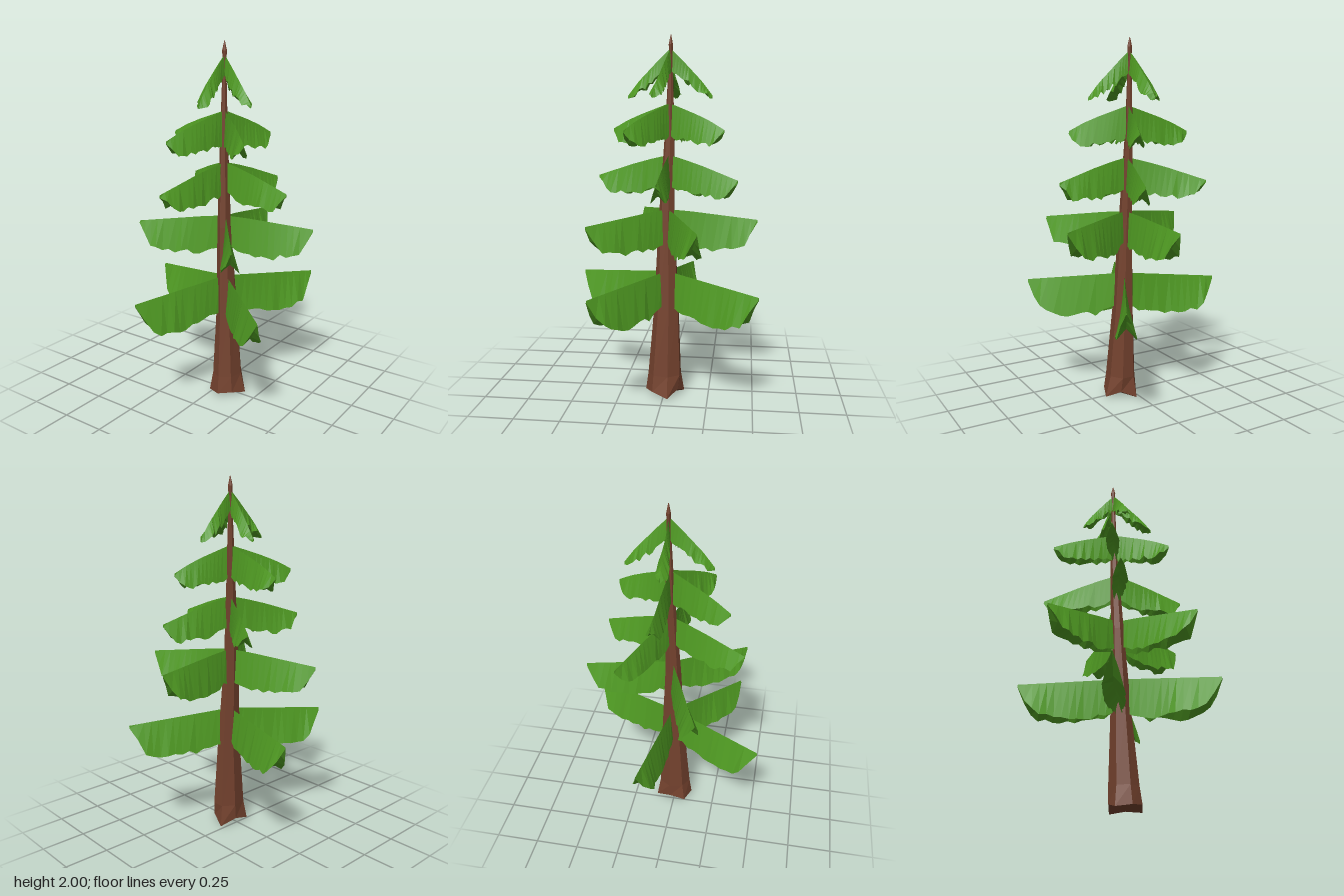
import * as THREE from 'three';

const foliage = new THREE.MeshStandardMaterial({ color: 0x4f9a22, flatShading: true });
foliage.name = 'needle green';
const bark = new THREE.MeshStandardMaterial({ color: 0x74422e, flatShading: true });
bark.name = 'bark brown';

// Trunk rings from the top down: height, centre x, centre z, radius x, radius z
const RINGS = [
  [2.0, 0.02, -0.03, 0.002, 0.002],
  [1.95, 0.02, -0.03, 0.014, 0.012],
  [1.9, 0.02, -0.03, 0.01, 0.01],
  [1.5, 0.022, -0.025, 0.02, 0.026],
  [1.0, 0.036, -0.01, 0.036, 0.046],
  [0.5, 0.055, -0.012, 0.056, 0.072],
  [0.12, 0.066, -0.004, 0.08, 0.096],
  [0.02, 0.07, 0.0, 0.096, 0.106],
];

// Each tier: ridge and hem heights along the branch, and branch tips [x, z]
const TIERS = [
  { ridge: [0.71, 0.695, 0.68, 0.665, 0.65], hem: [0.52, 0.47, 0.46, 0.475, 0.635], width: 0.058,
    tips: [[-0.49, -0.12], [-0.18, 0.51], [0.48, 0.35], [0.325, -0.52]] },
  { ridge: [1.06, 1.05, 1.035, 1.02, 1.005], hem: [0.88, 0.845, 0.84, 0.86, 0.99], width: 0.052,
    tips: [[-0.42, 0.185], [0.345, 0.38], [0.485, -0.21], [0.01, -0.51]] },
  { ridge: [1.36, 1.335, 1.305, 1.27, 1.235], hem: [1.19, 1.155, 1.14, 1.14, 1.22], width: 0.044,
    tips: [[-0.34, -0.245], [-0.09, 0.395], [0.43, 0.0], [0.145, -0.4]] },
  { ridge: [1.64, 1.61, 1.58, 1.545, 1.5], hem: [1.46, 1.44, 1.425, 1.42, 1.485], width: 0.04,
    tips: [[-0.34, -0.055], [-0.11, 0.31], [0.285, 0.185], [0.135, -0.325]] },
  { ridge: [1.93, 1.875, 1.815, 1.755, 1.68], hem: [1.82, 1.77, 1.72, 1.68, 1.665], width: 0.036,
    tips: [[-0.165, -0.04], [0.02, 0.205], [0.235, 0.045], [0.0, -0.255]] },
];
const WIDTHS = [0.2, 0.5, 0.8, 1, 0.06];
const STATIONS = 14;

function seeded(seed) {
  return () => {
    seed = (seed * 16807) % 2147483647;
    return seed / 2147483647;
  };
}

// Linear reading of evenly spaced values
function sample(values, t) {
  const f = t * (values.length - 1);
  const i = Math.min(Math.floor(f), values.length - 2);
  return values[i] + (values[i + 1] - values[i]) * (f - i);
}

// Hem and width stay full until near the tip, then close quickly
const bulge = (t) => (t < 0.84 ? t * 0.75 / 0.84 : 0.75 + (t - 0.84) * 0.25 / 0.16);

// Drooping branch along +x: a sharp roof with a ragged hem and hollow underside
function branchGeometry(tier, length, random) {
  const pos = [];
  const index = [];
  for (let i = 0; i <= STATIONS; i++) {
    const t = i / STATIONS;
    const ridge = sample(tier.ridge, t);
    const hem = sample(tier.hem, bulge(t));
    const w = sample(WIDTHS, bulge(t)) * tier.width;
    const rag = i === STATIONS ? 0 : 0.03;
    const right = hem + (random() - 0.4) * rag;
    const left = hem + (random() - 0.4) * rag;
    const x = t * length;
    pos.push(x, ridge, 0);
    pos.push(x, right, w * (0.9 + 0.2 * random()));
    pos.push(x, hem + (ridge - hem) * 0.3, 0);
    pos.push(x, left, -w * (0.9 + 0.2 * random()));
  }
  for (let i = 0; i < STATIONS; i++) {
    for (let k = 0; k < 4; k++) {
      const a = i * 4 + k;
      const b = i * 4 + (k + 1) % 4;
      index.push(a, b, a + 4, b, b + 4, a + 4);
    }
  }
  const e = STATIONS * 4;
  index.push(0, 2, 1, 0, 3, 2, e, e + 1, e + 2, e, e + 2, e + 3);
  const geo = new THREE.BufferGeometry();
  geo.setAttribute('position', new THREE.Float32BufferAttribute(pos, 3));
  geo.setIndex(index);
  geo.computeVertexNormals();
  return geo;
}

// Leaning seven-sided trunk with root lobes at the foot
function trunkGeometry() {
  const rows = RINGS.length - 1;
  const geo = new THREE.CylinderGeometry(1, 1, 1, 7, rows);
  const p = geo.attributes.position;
  for (let i = 0; i < p.count; i++) {
    const row = Math.round((0.5 - p.getY(i)) * rows);
    const [y, cx, cz, rx, rz] = RINGS[row];
    const lobe = Math.cos(3 * Math.atan2(p.getZ(i), p.getX(i)));
    const root = row === rows ? 1 + 0.15 * lobe : 1;
    const lift = row === rows ? -0.02 * lobe : 0;
    p.setXYZ(i, cx + p.getX(i) * rx * root, Math.max(0, y + lift), cz + p.getZ(i) * rz * root);
  }
  geo.computeVertexNormals();
  return geo;
}

export function createModel() {
  const tree = new THREE.Group();
  tree.name = 'conifer';

  const trunk = new THREE.Mesh(trunkGeometry(), bark);
  trunk.name = 'trunk';
  tree.add(trunk);

  // Five tiers of four branches
  const random = seeded(4711);
  TIERS.forEach((tier, n) => {
    const group = new THREE.Group();
    group.name = `branchTier${n + 1}`;
    const cx = 0.045 - 0.006 * n;
    const cz = -0.012 - 0.004 * n;
    tier.tips.forEach(([x, z], k) => {
      const length = Math.hypot(x - cx, z - cz);
      const branch = new THREE.Mesh(branchGeometry(tier, length, random), foliage);
      branch.name = `branch${k + 1}`;
      branch.position.set(cx, 0, cz);
      branch.rotation.y = -Math.atan2(z - cz, x - cx);
      group.add(branch);
    });
    tree.add(group);
  });
  return tree;
}
